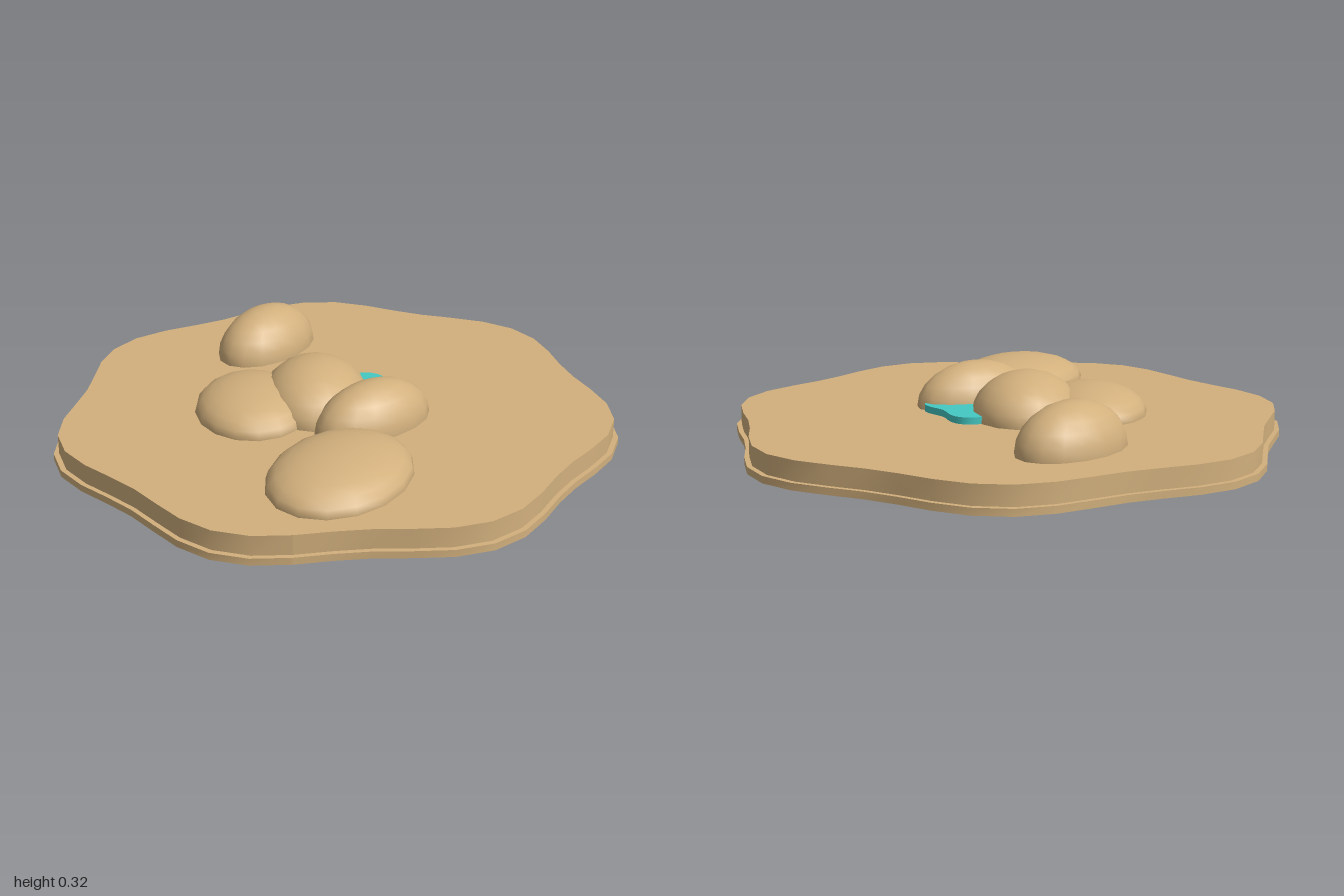
import * as THREE from 'three';

const sand = new THREE.MeshStandardMaterial({ color: 0xd2b07d });
sand.name = 'sandstone';
const teal = new THREE.MeshStandardMaterial({ color: 0x45c9c3 });
teal.name = 'tealWater';

// Upright disc whose radius waves in and out around the edge
function wavyDisc(name, material, { radius, wave, lobes, turn = 0, bottom, top, x, z = 0 }) {
  const geometry = new THREE.CylinderGeometry(1, 1, top - bottom, 48);
  const p = geometry.attributes.position;
  for (let i = 0; i < p.count; i++) {
    const angle = Math.atan2(p.getZ(i), p.getX(i));
    const r = radius + wave * Math.cos(lobes * (angle - turn));
    p.setX(i, p.getX(i) * r);
    p.setZ(i, p.getZ(i) * r);
  }
  geometry.computeVertexNormals();
  const mesh = new THREE.Mesh(geometry, material);
  mesh.name = name;
  mesh.position.set(x, (bottom + top) / 2, z);
  return mesh;
}

// Flattened pebble, half sunk in the slab
function pebble(name, [x, z], [rx, ry, rz], degrees) {
  const geometry = new THREE.SphereGeometry(1, 16, 12);
  geometry.scale(rx, ry, rz);
  const mesh = new THREE.Mesh(geometry, sand);
  mesh.name = name;
  mesh.position.set(x, 0.167, z);
  mesh.rotation.y = THREE.MathUtils.degToRad(degrees);
  return mesh;
}

export function createModel() {
  const model = new THREE.Group();
  model.name = 'rockSlab';

  // Slab with a slightly wider lip below
  model.add(
    wavyDisc('slabLip', sand, { radius: 0.975, wave: 0.04, lobes: 7, bottom: 0.07, top: 0.095, x: -0.035 }),
    wavyDisc('slab', sand, { radius: 0.957, wave: 0.039, lobes: 7, bottom: 0.09, top: 0.165, x: -0.035 }),
  );

  // Small pool between the pebbles
  model.add(wavyDisc('pool', teal, {
    radius: 0.207, wave: 0.023, lobes: 5, turn: -Math.PI / 20, bottom: 0.15, top: 0.19, x: 0.035, z: -0.005,
  }));

  // Pebbles: centre (x, z), half sizes, turn
  model.add(
    pebble('backPebble', [-0.37, -0.485], [0.15, 0.162, 0.232], -28),
    pebble('sidePebble', [-0.32, 0.085], [0.207, 0.103, 0.26], 15),
    pebble('middlePebble', [-0.11, -0.015], [0.196, 0.155, 0.257], 7),
    pebble('smallPebble', [0.117, 0.135], [0.138, 0.155, 0.236], -44),
    pebble('frontPebble', [0.058, 0.555], [0.233, 0.102, 0.308], -18),
  );
  return model;
}
